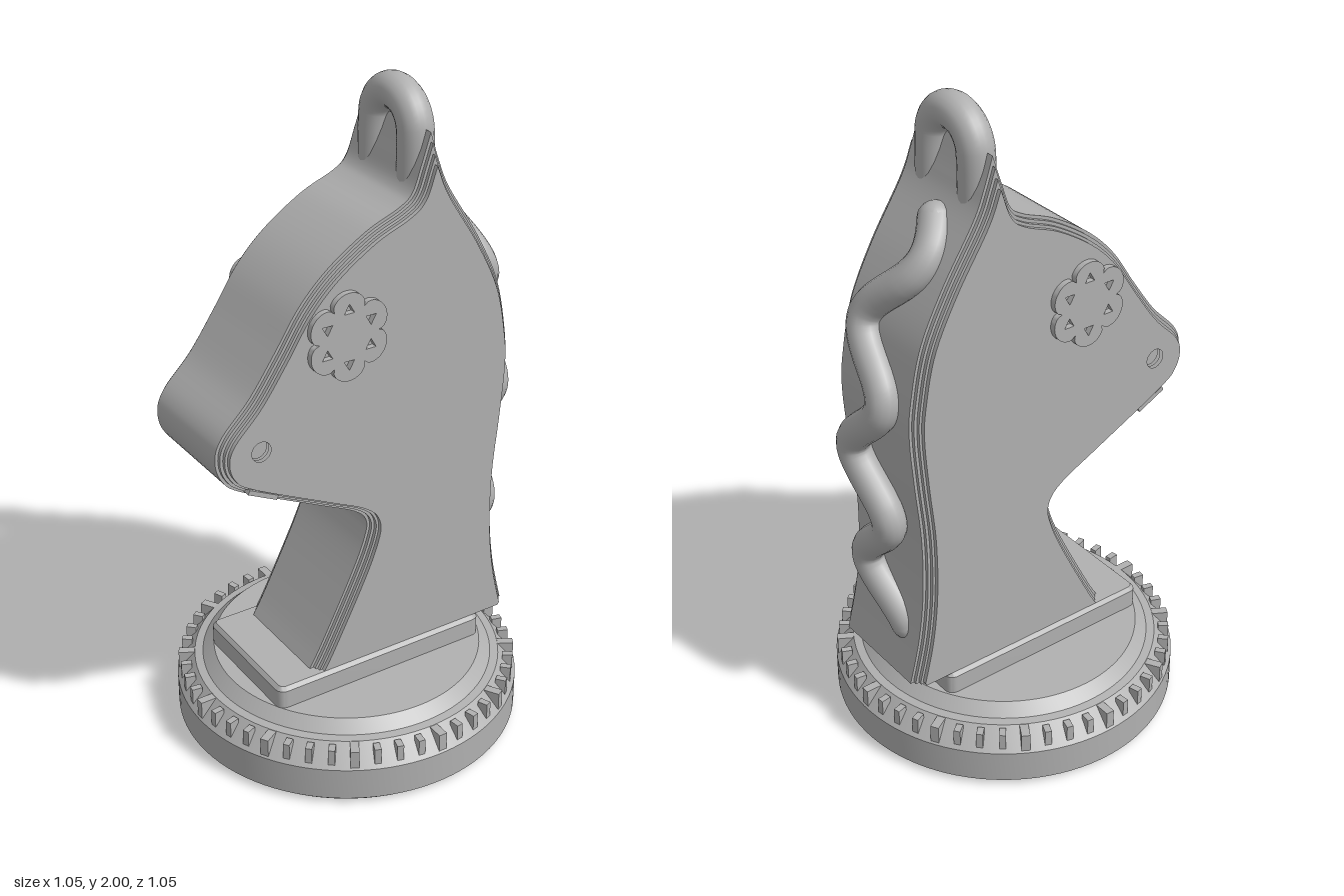
import * as THREE from 'three';
import { toCreasedNormals } from 'three/addons/utils/BufferGeometryUtils.js';

const grey = new THREE.MeshStandardMaterial({ color: 0xb0b0b0 });
grey.name = 'grey';

const V2 = (p) => new THREE.Vector2(p[0], p[1]);

// Side outline: throat, muzzle and forehead up to the ear tip, then the nape down
const FRONT = [[-0.235, 0.29], [-0.19, 0.37], [-0.09, 0.57], [-0.045, 0.68], [-0.038, 0.74], [-0.08, 0.785],
  [-0.2, 0.845], [-0.44, 0.965], [-0.505, 1.02], [-0.524, 1.09], [-0.5, 1.155], [-0.415, 1.245], [-0.335, 1.357],
  [-0.257, 1.473], [-0.167, 1.563], [-0.045, 1.643], [0.06, 1.687], [0.103, 1.72], [0.13, 1.79], [0.16, 1.88]];
const BACK = [[0.16, 1.88], [0.19, 1.79], [0.225, 1.71], [0.325, 1.55], [0.4, 1.395], [0.435, 1.235], [0.442, 1.13],
  [0.43, 0.97], [0.412, 0.785], [0.412, 0.6], [0.43, 0.44], [0.465, 0.29]];
const outline = [
  ...new THREE.SplineCurve(FRONT.map(V2)).getPoints(110),
  ...new THREE.SplineCurve(BACK.map(V2)).getPoints(70).slice(1),
];

// Shrink the outline by d, dropping points that fold over near the ear tip
function inset(pts, d) {
  const n = pts.length, out = [];
  pts.forEach((p, i) => {
    const a = p.clone().sub(pts[(i + n - 1) % n]).normalize();
    const b = pts[(i + 1) % n].clone().sub(p).normalize();
    const na = new THREE.Vector2(a.y, -a.x), nb = new THREE.Vector2(b.y, -b.x);
    const m = na.clone().add(nb).normalize();
    const q = p.clone().addScaledVector(m, d / Math.max(0.2, m.dot(na)));
    if (pts.some((s) => s.distanceTo(q) < d * 0.96)) return;
    if (i === 0 || i === n - 1) q.y = 0.29;
    out.push(q);
  });
  return out;
}

function slab(shape, z0, z1, crease = 0.5) {
  const g = new THREE.ExtrudeGeometry(shape, { depth: z1 - z0, bevelEnabled: false, curveSegments: 20 });
  return toCreasedNormals(g.translate(0, 0, z0), crease);
}

function add(parent, name, geometry) {
  const mesh = new THREE.Mesh(geometry, grey);
  mesh.name = name;
  parent.add(mesh);
  return mesh;
}

function addBase(group) {
  const base = new THREE.Group();
  base.name = 'base';
  const profile = [[0, 0], [0.505, 0], [0.525, 0.018], [0.525, 0.12], [0.47, 0.183], [0.445, 0.186], [0.41, 0.22], [0, 0.22]];
  add(base, 'disc', toCreasedNormals(new THREE.LatheGeometry(profile.map(V2), 96), 0.4));
  // Dial ticks: every fourth one is long
  for (let i = 0; i < 48; i++) {
    const long = i % 4 === 0;
    const tick = add(base, 'tick', new THREE.BoxGeometry(long ? 0.026 : 0.02, 0.06, long ? 0.06 : 0.032));
    const a = (i / 48) * Math.PI * 2, r = long ? 0.49 : 0.499;
    tick.position.set(Math.sin(a) * r, 0.152, Math.cos(a) * r);
    tick.rotation.y = a;
  }
  // Plinth under the neck, bevelled on top
  const w = 0.35, d = 0.2, c = 0.02;
  const s = new THREE.Shape();
  s.moveTo(-w + c, -d);
  s.lineTo(w - c, -d).quadraticCurveTo(w, -d, w, -d + c);
  s.lineTo(w, d - c).quadraticCurveTo(w, d, w - c, d);
  s.lineTo(-w + c, d).quadraticCurveTo(-w, d, -w, d - c);
  s.lineTo(-w, -d + c).quadraticCurveTo(-w, -d, -w + c, -d);
  const plinth = new THREE.ExtrudeGeometry(s, { depth: 0.07, bevelSize: 0.01, bevelThickness: 0.012, bevelSegments: 1, curveSegments: 6 });
  plinth.rotateX(-Math.PI / 2).translate(-0.004, 0.208, 0);
  add(base, 'plinth', toCreasedNormals(plinth, 0.5));
  group.add(base);
}

function addHead(group) {
  const head = new THREE.Group();
  head.name = 'horseHead';
  add(head, 'core', slab(new THREE.Shape(outline), -0.165, 0.165));
  // Stepped layers on both faces, pierced by the eye
  const steps = [[0.009, 0.165, 0.176], [0.018, 0.176, 0.187], [0.026, 0.187, 0.2]];
  for (const side of [1, -1]) {
    for (const [d, z0, z1] of steps) {
      const s = new THREE.Shape(inset(outline, d));
      s.holes.push(new THREE.Path().absarc(-0.4, 1.097, 0.03, 0, Math.PI * 2, true));
      add(head, 'sideLayer', side > 0 ? slab(s, z0, z1) : slab(s, -z1, -z0));
    }
    const mouth = add(head, 'mouth', new THREE.BoxGeometry(0.1, 0.014, 0.025));
    mouth.position.set(-0.395, 0.958, side * 0.184);
    mouth.rotation.z = -0.46;
  }
  group.add(head);
}

// Six-petalled rosette with triangular holes
function addRosettes(group) {
  const pts = [];
  for (let i = 0; i < 120; i++) {
    const t = (i / 120) * Math.PI * 2;
    const r = 0.095 + 0.036 * Math.sqrt(Math.abs(Math.cos(3 * (t - Math.PI / 2))));
    pts.push(new THREE.Vector2(Math.cos(t) * r, Math.sin(t) * r));
  }
  const s = new THREE.Shape(pts);
  for (let k = 0; k < 6; k++) {
    const a = Math.PI / 2 + (k * Math.PI) / 3;
    const tri = [0, 1, 2].map((j) => {
      const b = Math.PI / 2 + k * Math.PI + (j * Math.PI * 2) / 3;
      return new THREE.Vector2(Math.cos(a) * 0.08 + Math.cos(b) * 0.019, Math.sin(a) * 0.08 + Math.sin(b) * 0.019);
    });
    s.holes.push(new THREE.Path(tri));
  }
  for (const z of [0.198, -0.218]) {
    add(group, 'rosette', slab(s, z, z + 0.02)).position.set(-0.13, 1.375, 0);
  }
}

function addMane(group) {
  const mane = new THREE.Group();
  mane.name = 'mane';
  // Spine of the mane in profile; it waves from side to side
  const spine = new THREE.SplineCurve([[0.24, 1.67], [0.355, 1.53], [0.42, 1.38], [0.455, 1.23], [0.473, 1.08],
    [0.465, 0.93], [0.45, 0.76], [0.435, 0.58], [0.405, 0.43]].map(V2));
  const path = spine.getPoints(48).map((p) =>
    new THREE.Vector3(p.x, p.y, -0.07 * Math.cos(((p.y - 1.59) / 0.39) * Math.PI * 2)));
  add(mane, 'strand', new THREE.TubeGeometry(new THREE.CatmullRomCurve3(path), 160, 0.05, 16));
  for (const p of [path[0], path[path.length - 1]]) {
    add(mane, 'strandEnd', new THREE.SphereGeometry(0.05, 16, 12)).position.copy(p);
  }
  group.add(mane);
}

// Hanging loop above the ears
function addLoop(group) {
  const pts = [new THREE.Vector3(0.16, 1.62, 0.098), new THREE.Vector3(0.16, 1.74, 0.096)];
  for (let i = 0; i <= 10; i++) {
    const a = (i / 10) * Math.PI;
    pts.push(new THREE.Vector3(0.16, 1.855 + Math.sin(a) * 0.093, Math.cos(a) * 0.093));
  }
  pts.push(new THREE.Vector3(0.16, 1.74, -0.096), new THREE.Vector3(0.16, 1.62, -0.098));
  add(group, 'hangingLoop', new THREE.TubeGeometry(new THREE.CatmullRomCurve3(pts), 64, 0.052, 20));
}

export function createModel() {
  const group = new THREE.Group();
  group.name = 'chessKnight';
  addBase(group);
  addHead(group);
  addRosettes(group);
  addMane(group);
  addLoop(group);
  return group;
}
